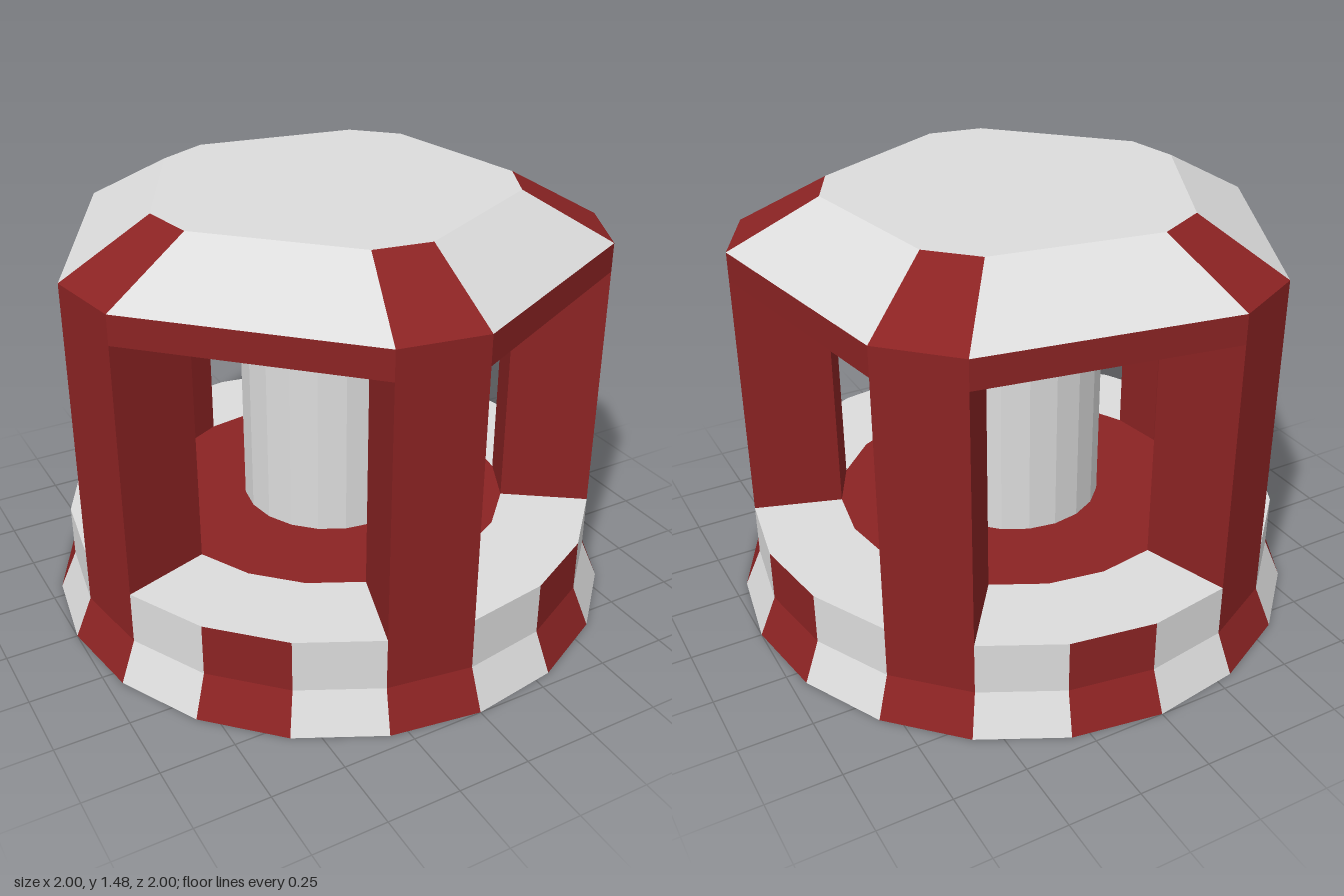
import * as THREE from 'three';

const STEP = Math.PI / 10; // the plan is laid out on twenty equal sectors
const BASE_Y = 0.325, EAVE_Y = 1.21, RIM_Y = 1.31, TOP_Y = 1.48;
const OUTER = 0.94, INNER = 0.63, COLUMN_R = 0.31;

const red = new THREE.MeshStandardMaterial({ color: 0x8b2323 });
red.name = 'dark red';
const white = new THREE.MeshStandardMaterial({ color: 0xdcdcdc });
white.name = 'pale grey';

// Flat panel strip between two sector angles, following a [radius, height] profile
function panel(profile, from, count, segments = 1) {
  const points = profile.map(([r, y]) => new THREE.Vector2(r, y));
  const geometry = new THREE.LatheGeometry(points, segments, from * STEP, count * STEP).toNonIndexed();
  geometry.computeVertexNormals();
  return geometry;
}

// Wedge-shaped upright filling one sector
function wedge(from) {
  const at = (r, i) => new THREE.Vector2(r * Math.sin(i * STEP), -r * Math.cos(i * STEP));
  const shape = new THREE.Shape([at(INNER, from), at(OUTER, from), at(OUTER, from + 1), at(INNER, from + 1)]);
  const geometry = new THREE.ExtrudeGeometry(shape, { depth: EAVE_Y - BASE_Y, bevelEnabled: false });
  return geometry.rotateX(-Math.PI / 2).translate(0, BASE_Y, 0);
}

export function createModel() {
  const model = new THREE.Group();
  model.name = 'pavilion';
  const groups = {};
  const add = (part, name, geometry, material) => {
    if (!groups[part]) {
      groups[part] = new THREE.Group();
      groups[part].name = part;
      model.add(groups[part]);
    }
    const mesh = new THREE.Mesh(geometry, material);
    mesh.name = name;
    groups[part].add(mesh);
  };

  // Striped flared base
  for (let i = 0; i < 20; i++) {
    add('base', 'baseStripe', panel([[1, 0], [OUTER, 0.14], [OUTER, BASE_Y]], i, 1), i % 2 ? red : white);
  }
  add('base', 'baseLedge', panel([[OUTER, BASE_Y], [INNER, BASE_Y]], 0, 20, 20), white);
  add('base', 'floor', panel([[INNER, BASE_Y], [0, BASE_Y]], 0, 20, 20), red);
  // Slightly hollowed underside
  add('base', 'underside', panel([[0, 0.03], [0.87, 0.03], [1, 0]], 0, 20, 20), red);

  // Central column
  add('column', 'column', panel([[COLUMN_R, BASE_Y], [COLUMN_R, EAVE_Y]], 0, 20, 20), white);

  // Five pillars, each with its roof sector, and the wide bay that follows
  for (let k = 0; k < 5; k++) {
    const start = 4 * k - 1;
    add('pillars', 'pillar', wedge(start), red);
    for (const [from, count, slope] of [[start, 1, red], [start + 1, 3, white]]) {
      add('roof', 'roofRim', panel([[OUTER, EAVE_Y], [OUTER, RIM_Y]], from, count), red);
      add('roof', 'roofSlope', panel([[OUTER, RIM_Y], [INNER, TOP_Y]], from, count), slope);
      add('roof', 'roofTop', panel([[INNER, TOP_Y], [0, TOP_Y]], from, count), white);
      add('roof', 'ceiling', panel([[0, EAVE_Y], [OUTER, EAVE_Y]], from, count), white);
    }
  }
  return model;
}
